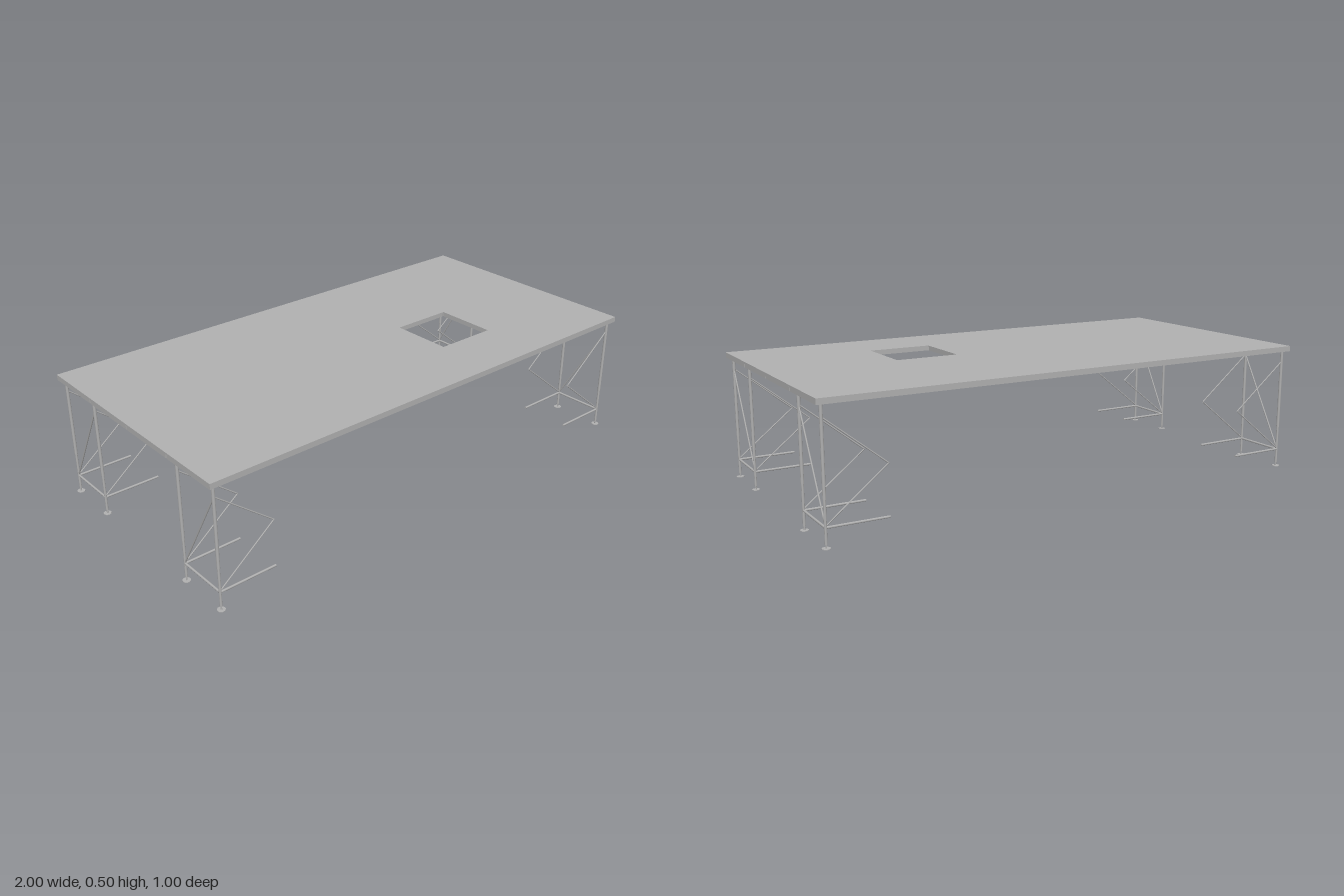
import * as THREE from 'three';

const grey = new THREE.MeshStandardMaterial({ color: 0xb0b0b0 });
grey.name = 'grey metal';

function add(parent, name, geometry, x = 0, y = 0, z = 0) {
  const mesh = new THREE.Mesh(geometry, grey);
  mesh.name = name;
  mesh.position.set(x, y, z);
  parent.add(mesh);
  return mesh;
}

// Round bar between two points
function bar(parent, name, a, b, radius) {
  const from = new THREE.Vector3(...a), to = new THREE.Vector3(...b);
  const dir = to.clone().sub(from);
  const mesh = add(parent, name, new THREE.CylinderGeometry(radius, radius, dir.length(), 8));
  mesh.position.copy(from).add(to).multiplyScalar(0.5);
  mesh.quaternion.setFromUnitVectors(new THREE.Vector3(0, 1, 0), dir.normalize());
}

function trace(path, points) {
  points.forEach(([x, y], i) => (i ? path.lineTo(x, y) : path.moveTo(x, y)));
  path.closePath();
  return path;
}

const rect = (x0, y0, x1, y1) => [[x0, y0], [x1, y0], [x1, y1], [x0, y1]];

// Flat shape extruded upward from y; shape y becomes -z
function plate(parent, name, outer, hole, y, depth) {
  const shape = trace(new THREE.Shape(), outer);
  shape.holes.push(trace(new THREE.Path(), hole));
  const geometry = new THREE.ExtrudeGeometry(shape, { depth, bevelEnabled: false });
  geometry.rotateX(-Math.PI / 2);
  return add(parent, name, geometry, 0, y, 0);
}

// Panel frame with chamfered inner corners and cross ribs
function panel(parent, x, z, width) {
  const group = new THREE.Group();
  group.name = 'deckPanel';
  const w = width / 2 - 0.002, d = 0.123, rim = 0.01, c = 0.035;
  const iw = w - rim, id = d - rim;
  plate(group, 'panelFrame', rect(-w, -d, w, d), [
    [-iw + c, -id], [iw - c, -id], [iw, -id + c], [iw, id - c],
    [iw - c, id], [-iw + c, id], [-iw, id - c], [-iw, -id + c],
  ], 0.48, 0.015);
  const ribs = width > 0.3 ? [-0.125, 0, 0.125] : [0];
  for (const rx of ribs) add(group, 'crossRib', new THREE.BoxGeometry(0.012, 0.012, id * 2), rx, 0.489, 0);
  group.position.set(x, 0, z);
  parent.add(group);
}

// Pair of legs with feet and braces, built for the +x end
function legFrame(parent, side, zFront, zBack) {
  const group = new THREE.Group();
  group.name = 'legFrame';
  const x = side * 0.977, xIn = side * 0.752;
  for (const z of [zFront, zBack]) {
    add(group, 'upperLeg', new THREE.CylinderGeometry(0.006, 0.006, 0.325, 10), x, 0.3275, z);
    add(group, 'lowerLeg', new THREE.CylinderGeometry(0.0048, 0.0048, 0.15, 10), x, 0.09, z);
    add(group, 'footScrew', new THREE.CylinderGeometry(0.003, 0.003, 0.014, 8), x, 0.008, z);
    add(group, 'footPlate', new THREE.CylinderGeometry(0.015, 0.015, 0.002, 16), x, 0.001, z);
    bar(group, 'inwardBar', [x, 0.071, z], [xIn, 0.071, z], 0.0045);
    bar(group, 'upperBrace', [x, 0.435, z], [xIn, 0.255, z], 0.0025);
    bar(group, 'lowerBrace', [xIn, 0.255, z], [x, 0.075, z], 0.0025);
  }
  bar(group, 'crossBar', [x, 0.071, zFront], [x, 0.071, zBack], 0.0045);
  bar(group, 'diagonalBrace', [x, 0.432, zFront], [x, 0.075, zBack], 0.003);
  parent.add(group);
}

export function createModel() {
  const model = new THREE.Group();
  model.name = 'stagePlatform';

  // Deck sheet with the square opening
  plate(model, 'deckSheet', rect(-1, -0.5, 1, 0.5), rect(0.25, -0.25, 0.5, 0), 0.494, 0.006);

  // Four by four panels, with a half panel beside the opening
  for (let i = 0; i < 4; i++) {
    for (let j = 0; j < 4; j++) {
      const x = -0.75 + i * 0.5, z = -0.375 + j * 0.25;
      if (i === 2 && j === 2) panel(model, 0.125, z, 0.25);
      else panel(model, x, z, 0.5);
    }
  }

  // Outer edge skirts
  for (const s of [-1, 1]) {
    add(model, 'longEdge', new THREE.BoxGeometry(2, 0.016, 0.006), 0, 0.487, s * 0.497);
    for (const z of [-0.376, -0.125, 0.125, 0.376]) {
      add(model, 'shortEdge', new THREE.BoxGeometry(0.006, 0.016, 0.246), s * 0.997, 0.487, z);
    }
  }

  // Corner clips where panels meet
  for (const x of [-0.5, 0, 0.5]) for (const z of [-0.25, 0, 0.25]) {
    for (const sx of [-1, 1]) for (const sz of [-1, 1]) {
      if (x === 0.5 && sx < 0 && ((z === 0 && sz > 0) || (z === 0.25 && sz < 0))) continue;
      const clip = add(model, 'cornerClip', new THREE.BoxGeometry(0.024, 0.004, 0.008), x + sx * 0.018, 0.479, z + sz * 0.018);
      clip.rotation.y = sx * sz * Math.PI / 4;
    }
  }

  // Leg frames at the four corners
  for (const side of [-1, 1]) {
    legFrame(model, side, 0.479, 0.272);
    legFrame(model, side, -0.272, -0.479);
  }
  return model;
}
